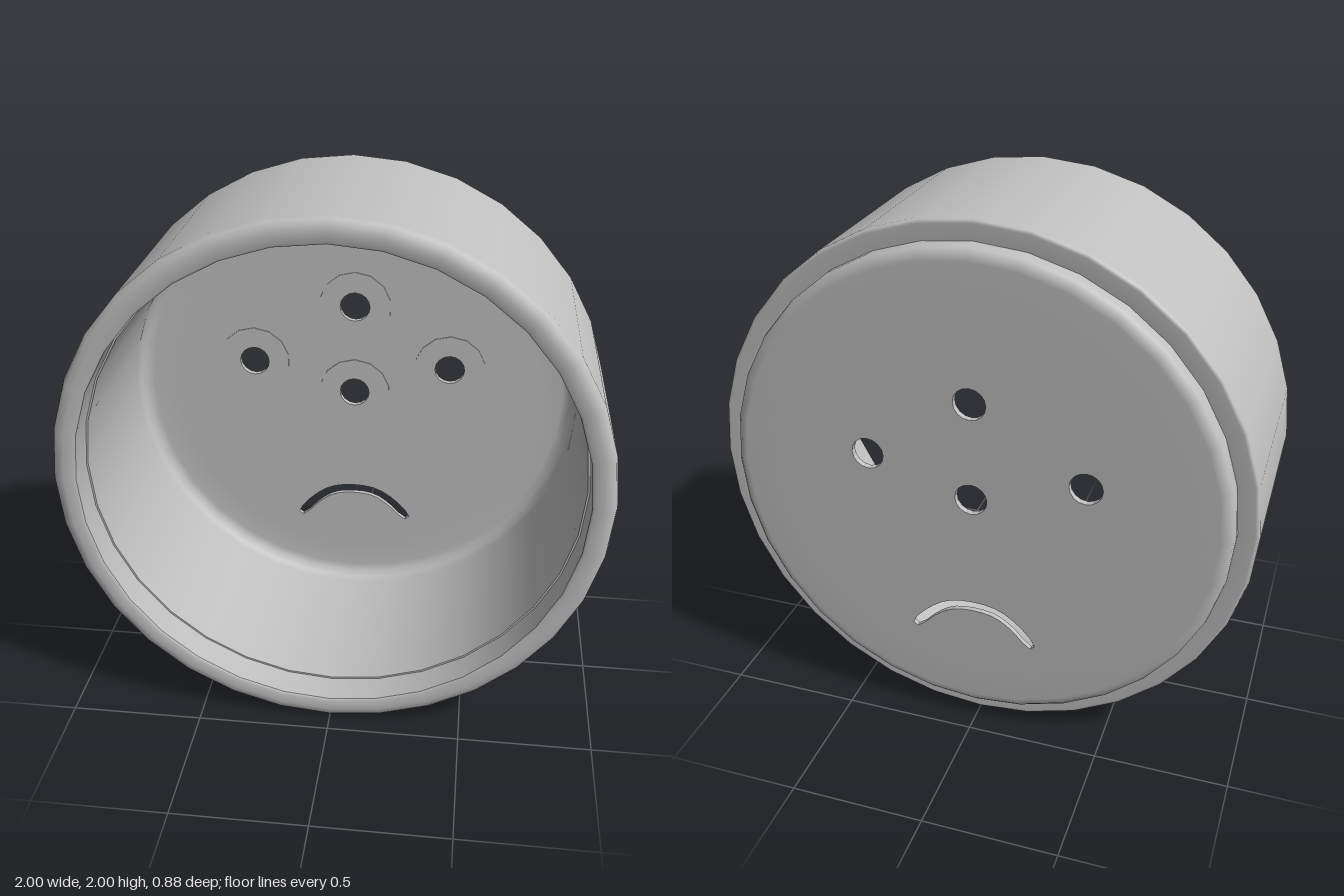
import * as THREE from 'three';

const SIDES = 32;
const FLOOR_R = 0.75;   // flat part of the floor
const BACK = -0.44, FLOOR = -0.42;

// Ring of 2D points, first one straight up
function ring(cx, cy, r, n) {
  return Array.from({ length: n }, (_, i) => {
    const a = (i / n) * Math.PI * 2;
    return new THREE.Vector2(cx - Math.sin(a) * r, cy + Math.cos(a) * r);
  });
}

// Curved slot of constant width with rounded ends
function arcSlot(centres, width) {
  const curve = new THREE.SplineCurve(centres.map(([x, y]) => new THREE.Vector2(x, y)));
  const n = 14, upper = [], lower = [];
  for (let i = 0; i <= n; i++) {
    const p = curve.getPoint(i / n), t = curve.getTangent(i / n);
    const w = (i === 0 || i === n) ? width * 0.3 : width * 0.5;
    upper.push(new THREE.Vector2(p.x - t.y * w, p.y + t.x * w));
    lower.push(new THREE.Vector2(p.x + t.y * w, p.y - t.x * w));
  }
  return upper.concat(lower.reverse());
}

export function createModel() {
  const model = new THREE.Group();
  model.name = 'stackingCup';
  const grey = new THREE.MeshStandardMaterial({ color: 0xc0c0c0 });
  grey.name = 'plain grey';

  const body = new THREE.Group();
  body.name = 'body';
  body.position.y = 1;
  model.add(body);

  const add = (name, geometry) => {
    const mesh = new THREE.Mesh(geometry, grey);
    mesh.name = name;
    body.add(mesh);
    return mesh;
  };

  // Wall profile as [radius, z]; repeated points keep an edge sharp
  const profile = [
    [FLOOR_R, BACK], [0.88, BACK], [0.905, -0.435], [0.92, -0.42], [0.925, -0.4],
    [0.925, -0.37], [0.925, -0.37],                       // stacking step
    [0.985, -0.375], [0.996, -0.37], [1, -0.355],
    [1, 0.4], [0.994, 0.42], [0.98, 0.434], [0.955, 0.44],  // rounded front rim
    [0.92, 0.437], [0.912, 0.43], [0.912, 0.43],
    [0.912, 0.31], [0.912, 0.31], [0.905, 0.31], [0.905, 0.31], // socket ledge
    [0.905, -0.36], [0.898, -0.39], [0.88, -0.41], [0.85, FLOOR], [FLOOR_R, FLOOR],
  ].map(([r, z]) => new THREE.Vector2(r, z));
  add('wall', new THREE.LatheGeometry(profile, SIDES)).rotation.x = Math.PI / 2;

  // Floor with four round holes and an arched slot
  const holes = [[0, 0.375], [0, 0], [-0.415, 0.12], [0.388, 0.12]];
  const slot = [[-0.232, -0.6], [-0.165, -0.525], [-0.09, -0.476], [0, -0.463],
    [0.09, -0.476], [0.165, -0.525], [0.232, -0.595]];
  const floor = new THREE.Shape(ring(0, 0, FLOOR_R, SIDES));
  holes.forEach(([x, y]) => floor.holes.push(new THREE.Path(ring(x, y, 0.06, 16))));
  floor.holes.push(new THREE.Path(arcSlot(slot, 0.038)));
  add('floor', new THREE.ExtrudeGeometry(floor, { depth: FLOOR - BACK, bevelEnabled: false }))
    .position.z = BACK;

  // Thin collars round the holes on the inside
  holes.forEach(([x, y]) => {
    const collar = new THREE.Shape(ring(x, y, 0.145, 14));
    collar.holes.push(new THREE.Path(ring(x, y, 0.06, 16)));
    add('holeCollar', new THREE.ExtrudeGeometry(collar, { depth: 0.004, bevelEnabled: false }))
      .position.z = FLOOR;
  });

  return model;
}
